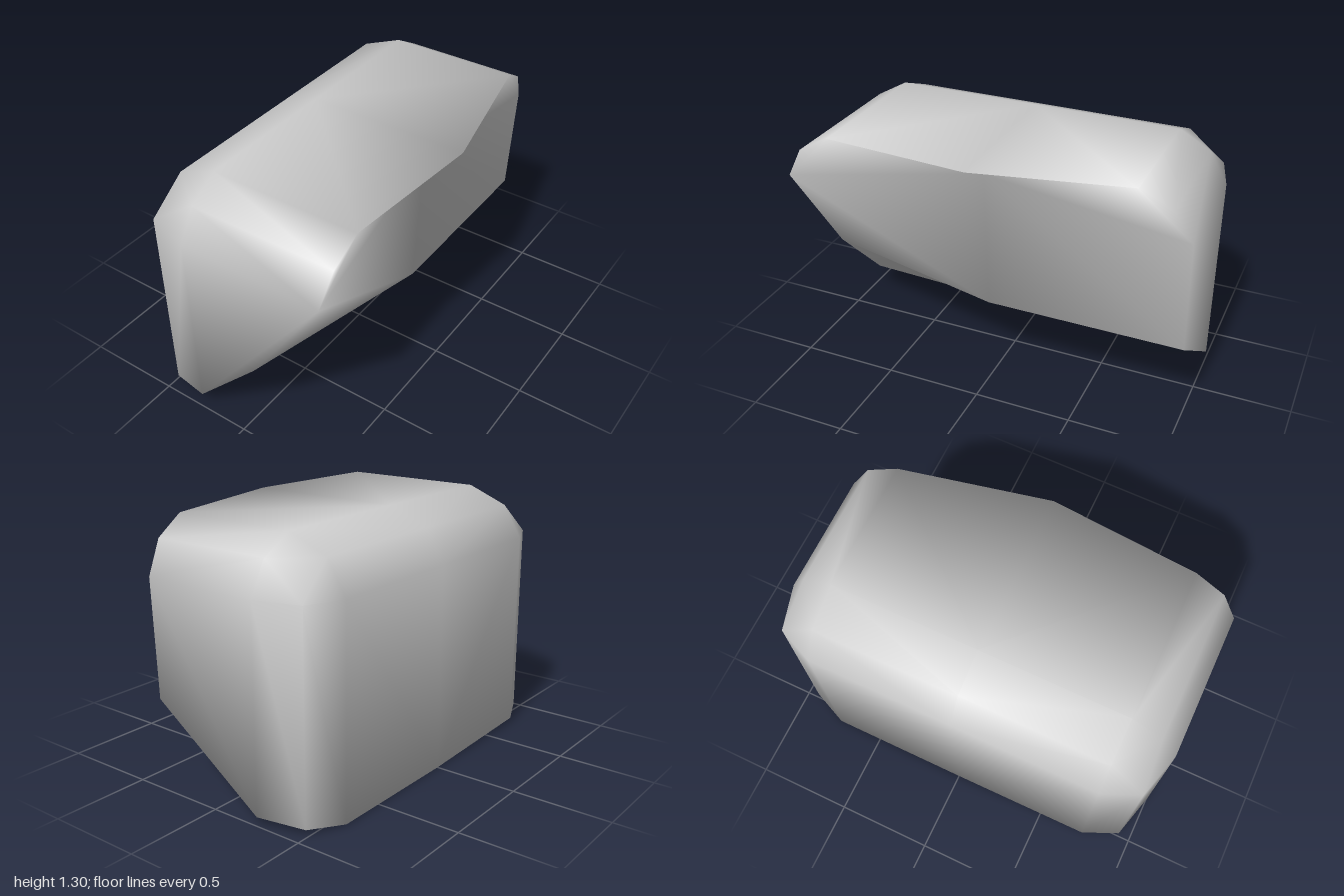
import * as THREE from 'three';
import { mergeVertices } from 'three/addons/utils/BufferGeometryUtils.js';

// Rounded shell of one cross-section: lower left, upper left, bevel, upper edge
const shell = (z, left, base, bevel, top, topZ = z) => [
  [left, base, z], [left, 1.05, z], [...bevel, z], [-0.26, top, topZ],
];

// Smooth normals in which every adjoining face counts equally
function softenEvenly(geometry) {
  const pos = geometry.attributes.position;
  const index = geometry.index;
  const sums = Array.from({ length: pos.count }, () => new THREE.Vector3());
  const face = new THREE.Triangle();
  const normal = new THREE.Vector3();
  for (let i = 0; i < index.count; i += 3) {
    const ids = [0, 1, 2].map((k) => index.getX(i + k));
    face.setFromAttributeAndIndices(pos, ...ids);
    face.getNormal(normal);
    ids.forEach((id) => sums[id].add(normal));
  }
  const normals = sums.flatMap((s) => s.normalize().toArray());
  geometry.setAttribute('normal', new THREE.Float32BufferAttribute(normals, 3));
}

export function createModel() {
  // Corners of the broken face, shared by neighbouring sections
  const backBreak = [[0.36, 1.05, -1], [0.335, 0.465, -1], [-0.26, 0.045, -1]];
  const frontBreak = [[0.49, 1.05, 1], [0.1, 0.47, 1], [-0.26, 0.09, 1]];
  const notch = [0.37, 1.2, 0];
  const twice = (p) => [p, p];

  // Cross-sections from back to front, nine corners each
  const rings = [
    [...shell(-1, -0.26, 0.045, [-0.26, 1.05], 1.05), ...twice(backBreak[0]), ...backBreak],
    [...shell(-0.935, -0.49, 0.03, [-0.49, 1.05], 1.21, -0.91), ...twice([0.385, 1.21, -0.91]), ...backBreak],
    [...shell(-0.75, -0.57, 0.005, [-0.47, 1.215], 1.3), ...twice([0.41, 1.3, -0.75]), ...backBreak],
    [...shell(0, -0.57, 0, [-0.47, 1.215], 1.3), [0.57, 1.3, 0], notch, notch, [0.335, 0.465, 0], [-0.27, 0.045, 0]],
    [...shell(0.75, -0.57, 0.02, [-0.47, 1.215], 1.3), ...twice([0.51, 1.3, 0.75]), ...frontBreak],
    [...shell(0.935, -0.49, 0.03, [-0.49, 1.05], 1.21, 0.91), ...twice([0.505, 1.21, 0.91]), ...frontBreak],
    [...shell(1, -0.26, 0.09, [-0.26, 1.05], 1.05), ...twice(frontBreak[0]), ...frontBreak],
  ];

  const positions = [];
  const same = (p, q) => p.every((v, i) => v === q[i]);
  const tri = (a, b, c) => {
    if (!same(a, b) && !same(b, c) && !same(a, c)) positions.push(...a, ...b, ...c);
  };

  // Skin between neighbouring sections; the fold direction mirrors on the front shell
  const n = rings[0].length;
  for (let i = 0; i < rings.length - 1; i++) {
    for (let j = 0; j < n; j++) {
      const k = (j + 1) % n;
      const a = rings[i][j], b = rings[i][k], c = rings[i + 1][k], d = rings[i + 1][j];
      if (i >= 3 && j < 6) {
        tri(a, c, b);
        tri(a, d, c);
      } else {
        tri(a, d, b);
        tri(b, d, c);
      }
    }
  }
  // Flat back and front ends
  const back = rings[0], front = rings[rings.length - 1];
  const ends = [1, 4, 7, 8];
  for (let j = 0; j < ends.length - 1; j++) {
    tri(back[0], back[ends[j]], back[ends[j + 1]]);
    tri(front[0], front[ends[j + 1]], front[ends[j]]);
  }

  // Shared corners give soft shading over the whole block
  let geometry = new THREE.BufferGeometry();
  geometry.setAttribute('position', new THREE.Float32BufferAttribute(positions, 3));
  geometry = mergeVertices(geometry);
  softenEvenly(geometry);

  const stone = new THREE.MeshStandardMaterial({ color: 0xcccccc });
  stone.name = 'paleGrey';
  const block = new THREE.Mesh(geometry, stone);
  block.name = 'brokenBlock';

  const group = new THREE.Group();
  group.name = 'brokenRoundedBlock';
  group.add(block);
  return group;
}
